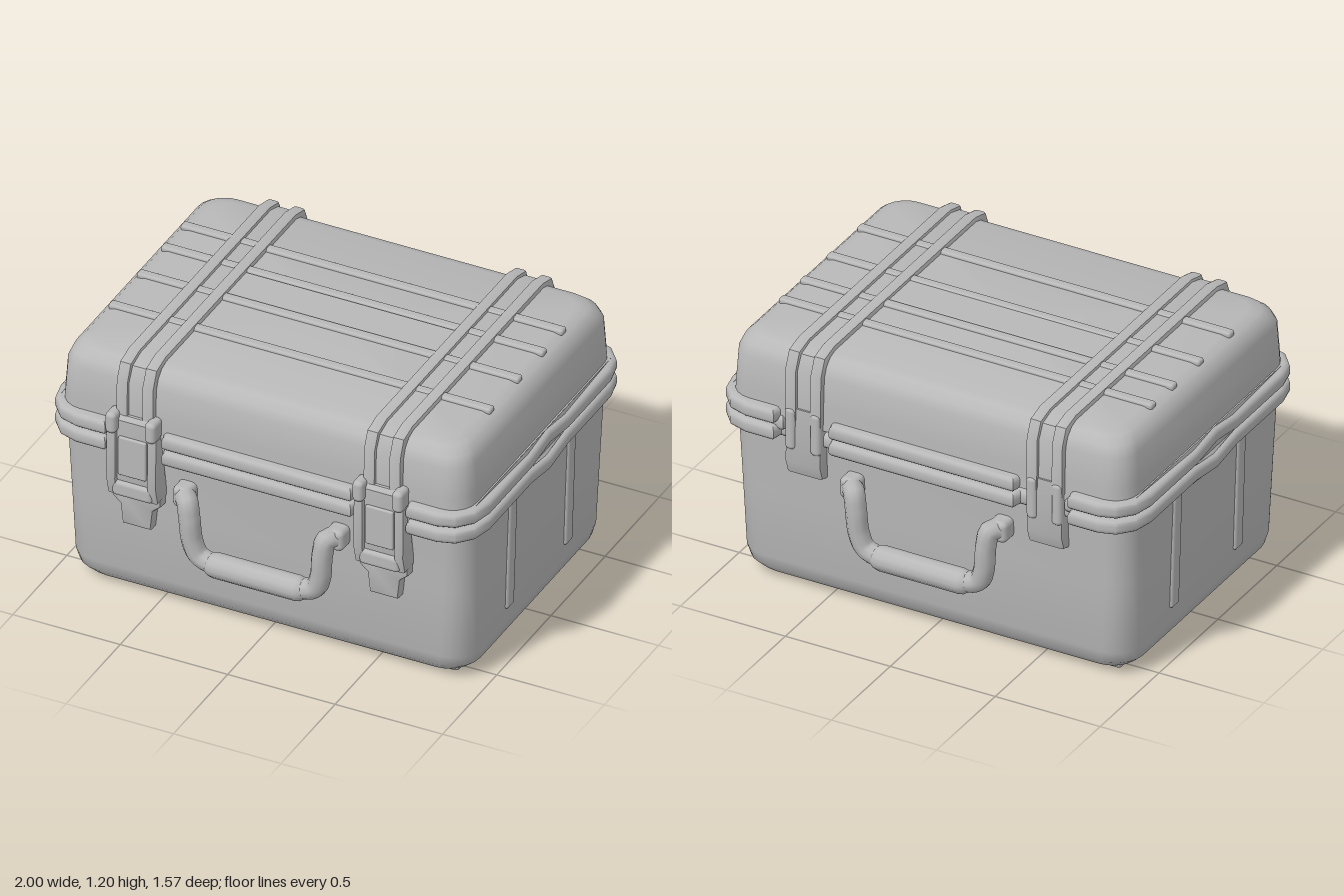
import * as THREE from 'three';
import { toCreasedNormals } from 'three/addons/utils/BufferGeometryUtils.js';
import { RoundedBoxGeometry } from 'three/addons/geometries/RoundedBoxGeometry.js';

const grey = new THREE.MeshStandardMaterial({ color: 0xb8b8b8 });
grey.name = 'case grey';

function add(parent, name, geometry, x = 0, y = 0, z = 0) {
  const mesh = new THREE.Mesh(geometry, grey);
  mesh.name = name;
  mesh.position.set(x, y, z);
  parent.add(mesh);
  return mesh;
}

const rbox = (w, h, d, r = 0.012) => new RoundedBoxGeometry(w, h, d, 2, Math.min(r, w / 2.1, h / 2.1, d / 2.1));

// Rounded-rectangle rings [y, halfX, halfZ, cornerRadius] joined from bottom to top
function loft(sections, steps = 5) {
  const pos = [], idx = [], n = 4 * (steps + 1);
  for (const [y, hx, hz, r] of sections) {
    for (let c = 0; c < 4; c++) {
      const sx = c === 0 || c === 3 ? 1 : -1, sz = c < 2 ? 1 : -1;
      for (let i = 0; i <= steps; i++) {
        const a = (c + i / steps) * Math.PI / 2;
        pos.push(sx * (hx - r) + r * Math.cos(a), y, sz * (hz - r) + r * Math.sin(a));
      }
    }
  }
  const last = sections.length - 1, low = pos.length / 3;
  pos.push(0, sections[0][0], 0, 0, sections[last][0], 0);
  for (let i = 0; i < n; i++) {
    const j = (i + 1) % n;
    for (let s = 0; s < last; s++) {
      const a = s * n + i, b = s * n + j;
      idx.push(a, a + n, b + n, a, b + n, b);
    }
    idx.push(low, i, j, low + 1, last * n + j, last * n + i);
  }
  const g = new THREE.BufferGeometry();
  g.setAttribute('position', new THREE.Float32BufferAttribute(pos, 3));
  g.setIndex(idx);
  return toCreasedNormals(g, 0.7);
}

// Rim outline with notches for latches and hinges; part of it opens at the end lock holes
function lip(y0, y1, inset, bend) {
  const q = [[0.44, 0.74], [0.45, 0.695], [0.69, 0.695], [0.7, 0.745], [0.84, 0.745],
    [0.92, 0.72], [0.98, 0.65], [1, 0.56], [1, 0.17]].map(([x, z]) => [x - inset, z - inset]);
  const mirror = (list, sx, sz) => list.map(([x, z]) => [x * sx, z * sz]);
  const rev = [...q].reverse(), end = 1 - inset;
  const pts = [...q, [end, 0], ...mirror(rev, 1, -1), ...mirror(q, -1, -1), [-end, 0], ...mirror(rev, -1, 1)];
  const bevel = Math.min(0.022, (y1 - y0) / 3);
  const g = new THREE.ExtrudeGeometry(new THREE.Shape(pts.map(p => new THREE.Vector2(...p))), {
    depth: y1 - y0 - 2 * bevel, bevelThickness: bevel, bevelSize: bevel, bevelOffset: -bevel, bevelSegments: 3,
  });
  g.rotateX(Math.PI / 2);
  g.translate(0, y1 - bevel, 0);
  const p = g.attributes.position;
  for (let i = 0; i < p.count; i++) {
    if (Math.abs(p.getZ(i)) < 0.01 && Math.abs(p.getX(i)) > 0.5) p.setY(i, p.getY(i) + bend);
  }
  return toCreasedNormals(g, 0.6);
}

// Outline in (z, y) extruded across x and centred
function slice(points, width, bevel = 0.01) {
  const g = new THREE.ExtrudeGeometry(new THREE.Shape(points.map(p => new THREE.Vector2(...p))), {
    depth: width - 2 * bevel, bevelThickness: bevel, bevelSize: bevel, bevelOffset: -bevel, bevelSegments: 2,
  });
  g.translate(0, 0, -width / 2 + bevel);
  g.rotateY(-Math.PI / 2);
  // the rotation sends shape x to +z
  return toCreasedNormals(g, 0.6);
}

function makeHandle() {
  const handle = new THREE.Group();
  handle.name = 'carryHandle';
  const half = [[0.36, 0.61, 0.69], [0.325, 0.61, 0.73], [0.31, 0.54, 0.74], [0.298, 0.42, 0.735], [0.27, 0.355, 0.73], [0.2, 0.33, 0.73]];
  const path = [...half, [0, 0.325, 0.73], ...half.map(([x, y, z]) => [-x, y, z]).reverse()];
  const curve = new THREE.CatmullRomCurve3(path.map(p => new THREE.Vector3(...p)), false, 'centripetal');
  add(handle, 'handleLoop', new THREE.TubeGeometry(curve, 64, 0.046, 10));
  const grip = new THREE.CapsuleGeometry(0.056, 0.38, 4, 12);
  grip.rotateZ(Math.PI / 2);
  add(handle, 'handleGrip', grip, 0, 0.328, 0.73);
  for (const s of [-1, 1]) {
    add(handle, 'handleMount', rbox(0.085, 0.1, 0.1, 0.025), s * 0.355, 0.61, 0.685);
  }
  return handle;
}

function makeLatch() {
  const latch = new THREE.Group();
  latch.name = 'latch';
  add(latch, 'latchPlate', slice([[0.64, 0.54], [0.715, 0.54], [0.735, 0.63], [0.735, 0.92], [0.72, 0.94], [0.68, 0.94]], 0.18));
  for (const s of [-1, 1]) {
    add(latch, 'latchRail', slice([[0.64, 0.55], [0.735, 0.55], [0.755, 0.63], [0.752, 0.87], [0.7, 0.87]], 0.045), s * 0.095);
    add(latch, 'latchKnob', rbox(0.05, 0.1, 0.085, 0.02), s * 0.092, 0.912, 0.728);
  }
  add(latch, 'latchCrossbar', rbox(0.19, 0.075, 0.09, 0.02), 0, 0.585, 0.705);
  add(latch, 'latchInset', rbox(0.13, 0.19, 0.02, 0.008), 0, 0.75, 0.737);
  // tapered pull tab
  const tab = new THREE.Shape([[-0.1, 0.56], [-0.1, 0.52], [-0.065, 0.49], [-0.055, 0.4], [0.055, 0.4], [0.065, 0.49], [0.1, 0.52], [0.1, 0.56]]
    .map(p => new THREE.Vector2(...p)));
  const g = new THREE.ExtrudeGeometry(tab, { depth: 0.035, bevelThickness: 0.015, bevelSize: 0.012, bevelSegments: 2 });
  add(latch, 'latchTab', toCreasedNormals(g, 0.6), 0, 0, 0.655);
  return latch;
}

export function createModel() {
  const model = new THREE.Group();
  model.name = 'hardCase';

  // Lower tub with a shallow channel between two foot pads
  add(model, 'tub', loft([[0.015, 0.85, 0.56, 0.1], [0.03, 0.89, 0.6, 0.12], [0.065, 0.925, 0.63, 0.13],
    [0.12, 0.938, 0.643, 0.13], [0.45, 0.948, 0.652, 0.12], [0.79, 0.96, 0.668, 0.12]]));
  for (const s of [-1, 1]) {
    add(model, 'footPad', rbox(1.7, 0.05, 0.42, 0.02), 0, 0.025, s * 0.35);
    for (const z of [-0.27, 0.27]) {
      const rib = add(model, 'endRib', rbox(0.04, 0.56, 0.07, 0.015), s * 0.94, 0.47, z);
      rib.rotation.z = -s * 0.03;
    }
  }

  // Rim: two lips around a gasket
  add(model, 'lowerLip', lip(0.75, 0.818, 0, -0.025));
  add(model, 'gasket', lip(0.79, 0.86, 0.03, 0));
  add(model, 'upperLip', lip(0.828, 0.897, 0, 0.025));

  // Lid
  add(model, 'lid', loft([[0.84, 0.955, 0.7, 0.11], [0.95, 0.95, 0.697, 0.11], [1.09, 0.942, 0.69, 0.11],
    [1.135, 0.925, 0.672, 0.11], [1.165, 0.895, 0.64, 0.11], [1.178, 0.85, 0.6, 0.1]]));
  for (const z of [-0.345, -0.165, 0.06, 0.32]) {
    add(model, 'lidRib', rbox(1.78, 0.03, 0.045, 0.012), 0, 1.178, z);
  }
  add(model, 'lidPanel', rbox(0.98, 0.02, 0.18, 0.008), 0, 1.178, -0.05);

  // Straps over the lid, with latches at the front and hinges at the back
  const band = d => [[0.702 + d, 0.86], [0.698 + d, 1.1], [0.665 + d, 1.158 + d], [0.6, 1.18 + d],
    [-0.6, 1.18 + d], [-0.665 - d, 1.158 + d], [-0.698 - d, 1.1], [-0.702 - d, 0.86]];
  for (const s of [-1, 1]) {
    const x = s * 0.575;
    add(model, 'lidStrap', slice(band(0.006), 0.17), x);
    for (const o of [-0.06, 0.06]) add(model, 'strapRidge', slice(band(0.02), 0.055), x + o);
    add(model, 'hinge', slice([[-0.62, 0.92], [-0.715, 0.92], [-0.72, 0.66], [-0.7, 0.6], [-0.62, 0.58]].reverse(), 0.17), x);
    for (const o of [-0.06, 0.06]) add(model, 'hingeKnuckle', rbox(0.05, 0.2, 0.06, 0.02), x + o, 0.82, -0.7);
    const latch = makeLatch();
    latch.position.x = x;
    model.add(latch);
  }

  // Front and back handles
  const front = makeHandle(), back = makeHandle();
  back.rotation.y = Math.PI;
  model.add(front, back);
  return model;
}
